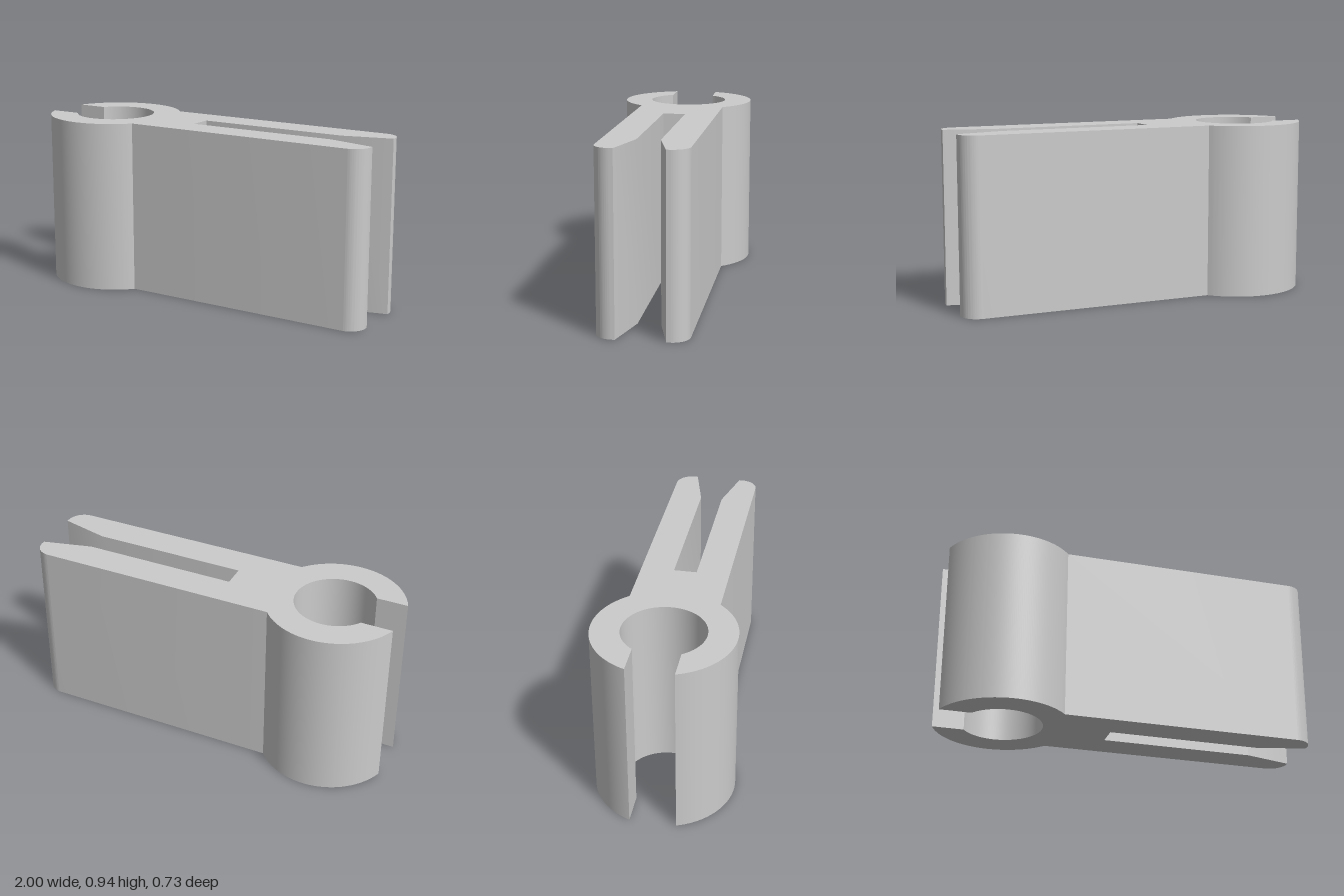
import * as THREE from 'three';
import { toCreasedNormals } from 'three/addons/utils/BufferGeometryUtils.js';

export function createModel() {
  const height = 0.935;
  const ringX = -0.655, outerR = 0.365, innerR = 0.215; // snap ring
  const gap = 0.12;                                     // half width of ring mouth
  const half = 0.233;                                   // half thickness of the arms
  const slot = 0.06, slotStart = -0.085, flareStart = 0.74, flare = 0.125;
  const tipR = 0.09, tipX = 1 - tipR, tipY = half - tipR;

  const mouthOuter = Math.asin(gap / outerR);
  const mouthInner = Math.asin(gap / innerR);
  const join = Math.asin(half / outerR);

  const profile = new THREE.Shape();
  // one jaw of the ring, then the rounded tip of one arm
  profile.absarc(ringX, 0, outerR, Math.PI + mouthOuter, 2 * Math.PI - join, false);
  profile.absarc(tipX, -tipY, tipR, -Math.PI / 2, 0, false);
  // slot between the arms, flared at its mouth
  profile.lineTo(1, -flare);
  profile.lineTo(flareStart, -slot);
  profile.lineTo(slotStart, -slot);
  profile.lineTo(slotStart, slot);
  profile.lineTo(flareStart, slot);
  profile.lineTo(1, flare);
  // the other arm tip and jaw, then back around the bore
  profile.absarc(tipX, tipY, tipR, 0, Math.PI / 2, false);
  profile.absarc(ringX, 0, outerR, join, Math.PI - mouthOuter, false);
  profile.absarc(ringX, 0, innerR, Math.PI - mouthInner, Math.PI + mouthInner, true);
  profile.closePath();

  const extruded = new THREE.ExtrudeGeometry(profile, {
    depth: height, bevelEnabled: false, curveSegments: 40,
  });
  extruded.rotateX(-Math.PI / 2);

  const clip = new THREE.Mesh(
    toCreasedNormals(extruded, 0.4),
    new THREE.MeshStandardMaterial({ color: 0xcccccc })
  );
  clip.name = 'clipBody';

  const group = new THREE.Group();
  group.name = 'slottedClip';
  group.add(clip);
  return group;
}
